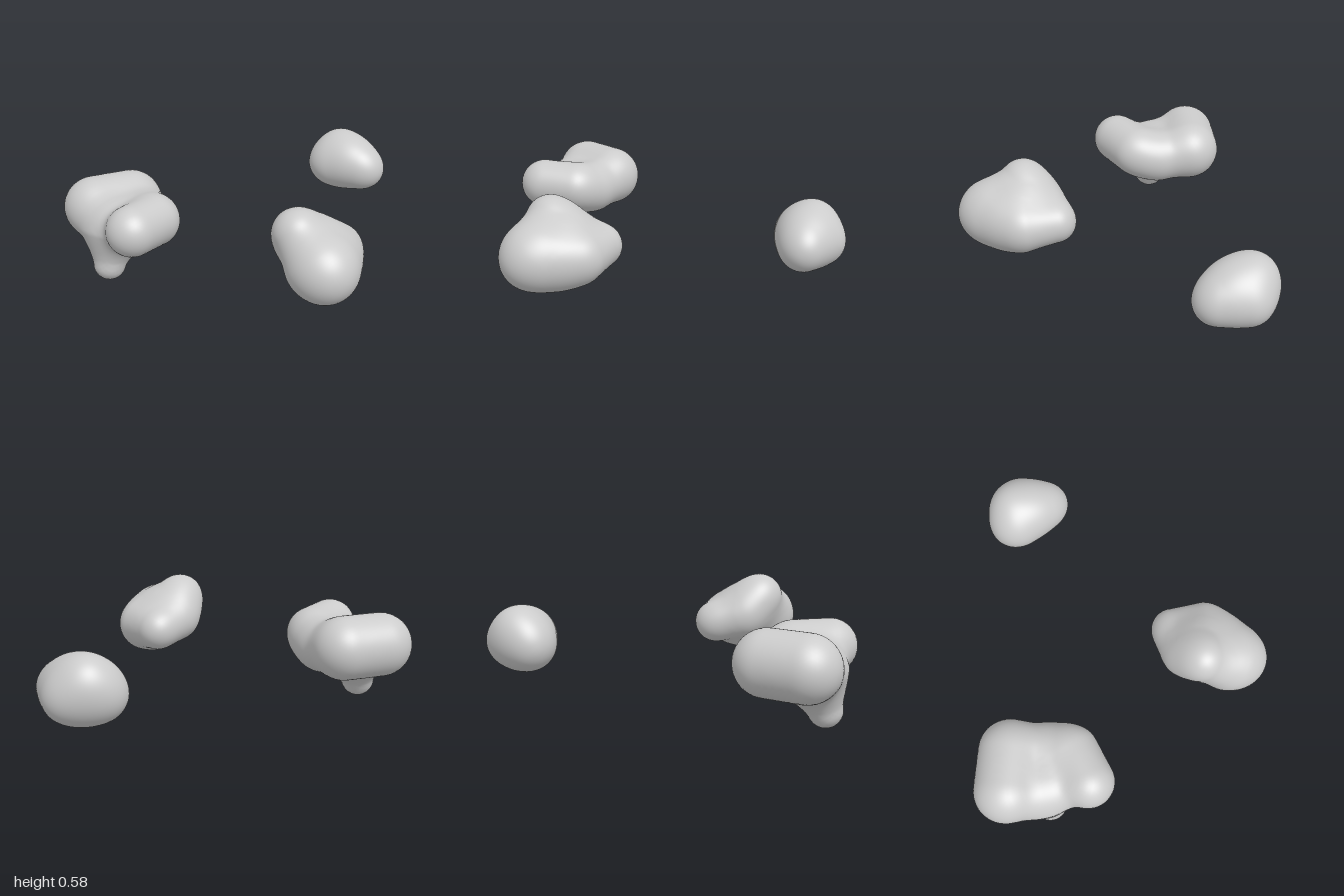
import * as THREE from 'three';
import { mergeVertices } from 'three/addons/utils/BufferGeometryUtils.js';

const BLEND = 0.1;
const V = (a) => new THREE.Vector3(...a);

// Distance to a tapered capsule [start, radius, end, radius]; a sphere when no end is given
function capsule(p, [a, ra, b = a, rb = ra]) {
  const A = V(a), ab = V(b).sub(A), ap = p.clone().sub(A);
  const h = THREE.MathUtils.clamp(ap.dot(ab) / (ab.lengthSq() || 1), 0, 1);
  return ap.addScaledVector(ab, -h).length() - THREE.MathUtils.lerp(ra, rb, h);
}

// Smooth union of all lobes
function field(p, lobes) {
  let d = 1e3;
  for (const lobe of lobes) {
    const e = capsule(p, lobe);
    const h = Math.max(BLEND - Math.abs(d - e), 0);
    d = Math.min(d, e) - h * h / (4 * BLEND);
  }
  return d;
}

// Skin a cluster of lobes: move each sphere vertex along its ray to the surface
function blob(name, centre, lobes) {
  let geo = new THREE.IcosahedronGeometry(1, 18);
  geo.deleteAttribute('normal');
  geo.deleteAttribute('uv');
  geo = mergeVertices(geo, 1e-4);
  const pos = geo.attributes.position, c = V(centre), p = new THREE.Vector3();
  for (let i = 0; i < pos.count; i++) {
    const dir = new THREE.Vector3().fromBufferAttribute(pos, i).normalize();
    let t = 0.7;
    for (let s = 0; s < 60; s++) {
      const d = field(p.copy(c).addScaledVector(dir, t), lobes);
      if (d < 0.0005) break;
      t -= d * 0.9;
    }
    p.copy(c).addScaledVector(dir, t);
    pos.setXYZ(i, p.x, p.y, p.z);
  }
  geo.computeVertexNormals();
  const mesh = new THREE.Mesh(geo, new THREE.MeshStandardMaterial({ color: 0xcccccc }));
  mesh.name = name;
  return mesh;
}

export function createModel() {
  const group = new THREE.Group();
  group.name = 'blobs';

  // Back roll, front roll, the core between them and a hanging nub
  group.add(blob('rightBlob', [-0.73, 0.31, -0.34], [
    [[-0.83, 0.345, -0.53], 0.168, [-0.62, 0.345, -0.53], 0.168],
    [[-0.755, 0.36, -0.112], 0.138, [-0.6, 0.35, -0.21], 0.14],
    [[-0.76, 0.3, -0.32], 0.13, [-0.59, 0.31, -0.34], 0.135],
    [[-0.83, 0.09, -0.315], 0.088, [-0.79, 0.25, -0.35], 0.155],
  ]));

  // Front bulge, peak, rear shoulder and tail, with fillers between them
  group.add(blob('frontBlob', [0.02, 0.33, 0.45], [
    [[0, 0.305, 0.63], 0.165],
    [[-0.065, 0.45, 0.44], 0.13, [-0.02, 0.33, 0.55], 0.155],
    [[-0.01, 0.355, 0.35], 0.13],
    [[0.13, 0.315, 0.275], 0.115, [0.155, 0.31, 0.44], 0.14],
    [[0.07, 0.3, 0.52], 0.152],
    [[0.03, 0.38, 0.43], 0.115],
  ]));

  // Small rounded pebble
  group.add(blob('leftBlob', [0.81, 0.31, -0.6], [
    [[0.72, 0.3, -0.66], 0.133],
    [[0.87, 0.295, -0.64], 0.122, [0.86, 0.29, -0.487], 0.122],
    [[0.79, 0.38, -0.665], 0.11],
    [[0.79, 0.3, -0.6], 0.138],
    [[0.82, 0.335, -0.55], 0.105],
  ]));

  return group;
}
